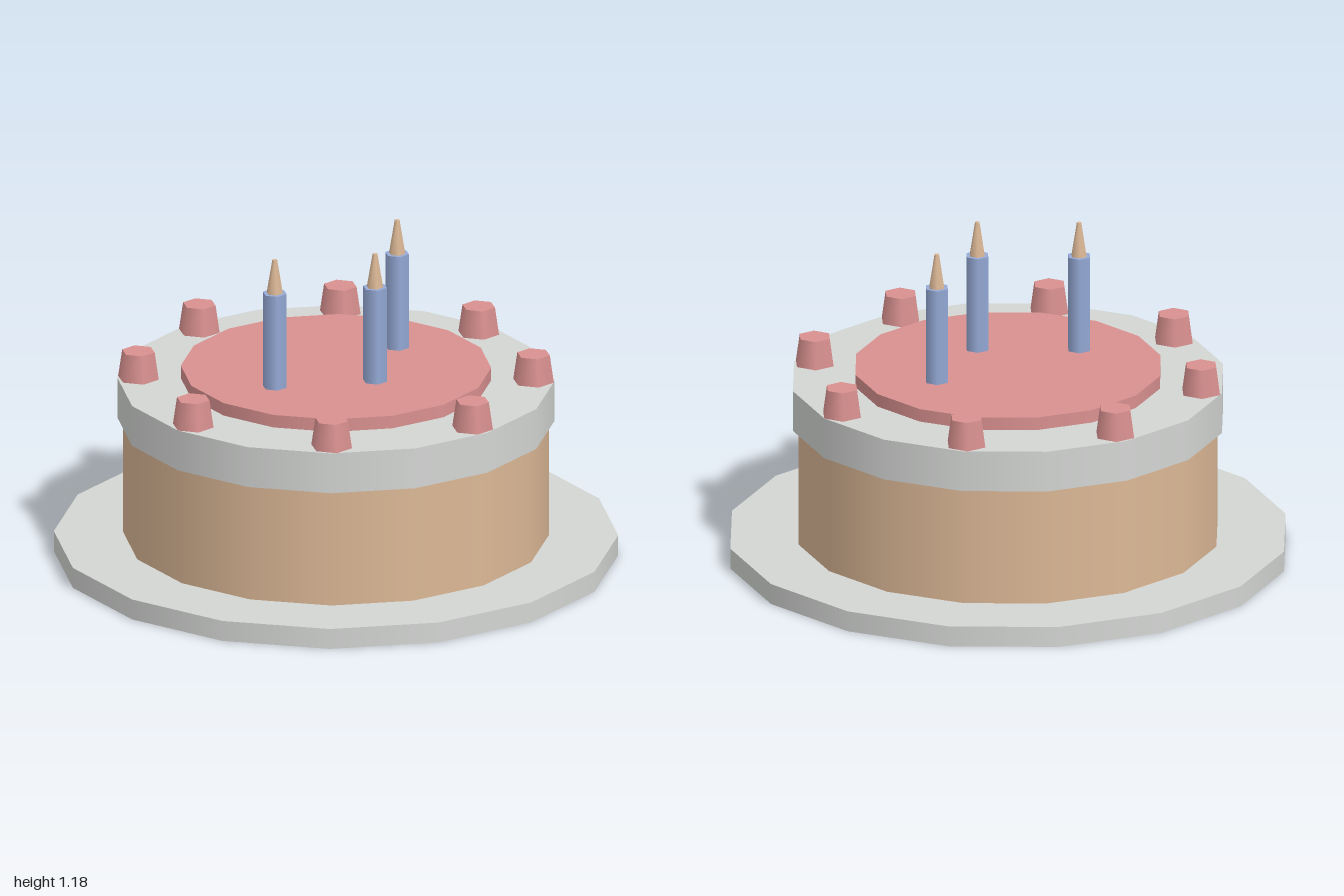
import * as THREE from 'three';

const material = (name, color) => {
  const m = new THREE.MeshStandardMaterial({ color });
  m.name = name;
  return m;
};

export function createModel() {
  const cake = new THREE.Group();
  cake.name = 'cake';

  const icing = material('icing grey', 0xd4d6d4);
  const sponge = material('sponge tan', 0xdcb896);
  const pink = material('topping pink', 0xd99190);
  const blue = material('candle blue', 0x96abd8);

  // Tapered round part standing between two heights
  function round(name, parent, mat, rBottom, rTop, y0, y1, sides, x = 0, z = 0) {
    const geo = new THREE.CylinderGeometry(rTop, rBottom, y1 - y0, sides);
    if (sides === 6) geo.rotateY(Math.PI / 6); // corners point along x
    const mesh = new THREE.Mesh(geo, mat);
    mesh.name = name;
    mesh.position.set(x, (y0 + y1) / 2, z);
    parent.add(mesh);
    return mesh;
  }

  // Plate and cake layers
  round('plate', cake, icing, 1, 1, 0, 0.075, 16);
  round('sponge', cake, sponge, 0.755, 0.755, 0.075, 0.505, 16);
  round('icingLayer', cake, icing, 0.775, 0.775, 0.505, 0.655, 16);
  round('toppingDisc', cake, pink, 0.55, 0.55, 0.655, 0.702, 16);

  // Ring of sweets around the rim
  const sweets = new THREE.Group();
  sweets.name = 'sweets';
  cake.add(sweets);
  for (let i = 0; i < 8; i++) {
    const a = (i / 8) * Math.PI * 2;
    round('sweet' + (i + 1), sweets, pink, 0.075, 0.06, 0.655, 0.756, 6,
      0.7 * Math.sin(a), 0.7 * Math.cos(a));
  }

  // Three candles with flames
  [[-0.3, 0], [0.3, 0], [0, 0.2]].forEach(([x, z], i) => {
    const candle = new THREE.Group();
    candle.name = 'candle' + (i + 1);
    cake.add(candle);
    round('stick', candle, blue, 0.044, 0.044, 0.702, 1.055, 6, x, z);
    round('flame', candle, sponge, 0.03, 0.009, 1.055, 1.18, 6, x, z);
  });

  return cake;
}
